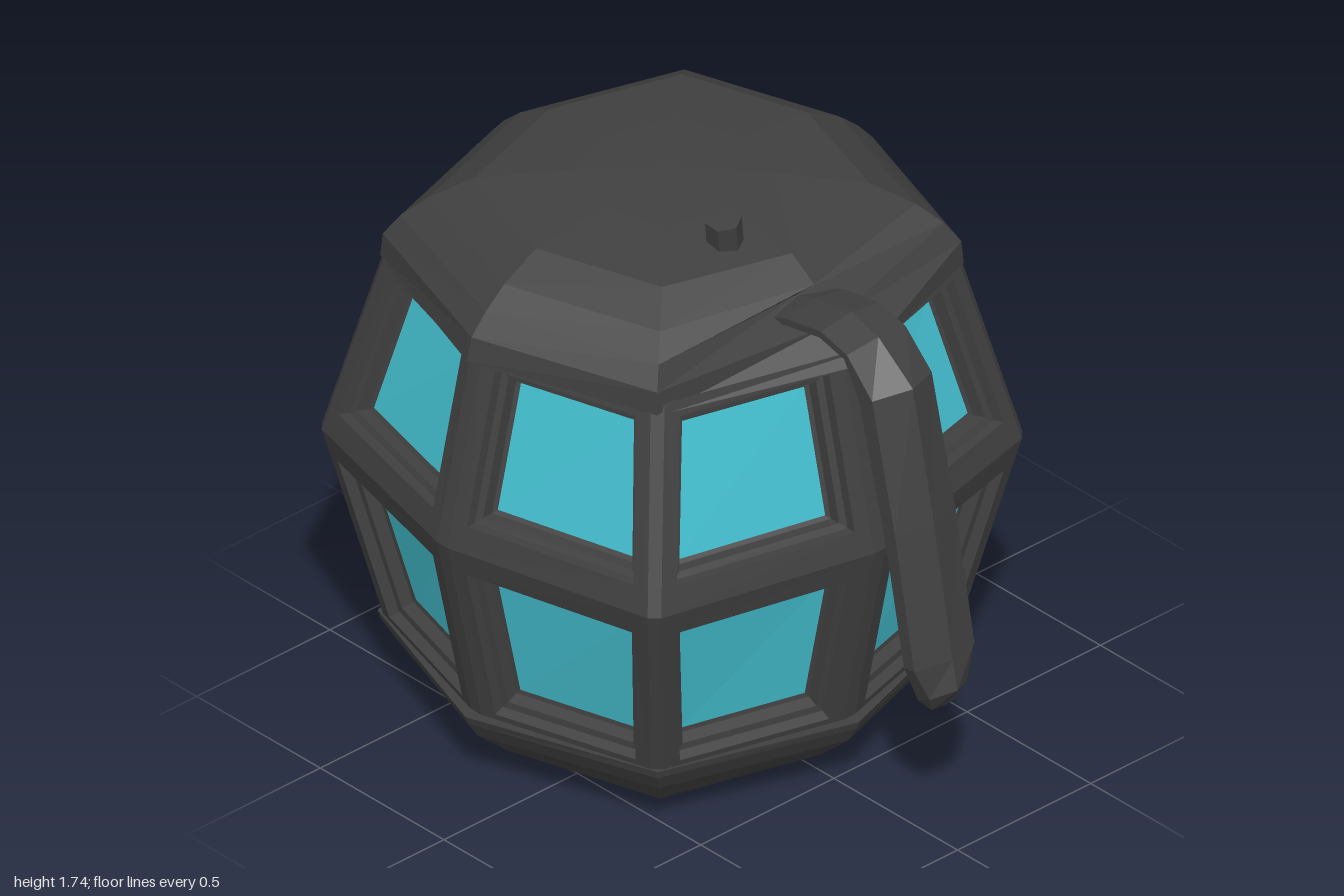
import * as THREE from 'three';

const dark = new THREE.MeshStandardMaterial({ color: 0x404040 });
dark.name = 'darkMetal';
const teal = new THREE.MeshStandardMaterial({ color: 0x44c0d0 });
teal.name = 'tealGlass';

const CZ = -0.155, SZ = 0.975; // body centre and depth ratio
const V = (x, y, z) => new THREE.Vector3(x, y, z);

// Eight-sided outline, a = reach on the axes, c = reach of the corners; starts at the front, runs to +x
function octagon(a, c, y, front) {
  const s = [[0, a], [c, c], [a, 0], [c, -c], [0, -a], [-c, -c], [-a, 0], [-c, c]];
  const ring = s.map(([x, z]) => V(x, y, CZ + z * SZ));
  if (front) ring[0].set(0, front[0], front[1]);
  return ring;
}

const quad = (out, a, b, c, d) => out.push(a, b, c, a, c, d);

function fan(out, ring, flip) {
  for (let i = 1; i < ring.length - 1; i++) {
    if (flip) out.push(ring[0], ring[i + 1], ring[i]);
    else out.push(ring[0], ring[i], ring[i + 1]);
  }
}

// Faceted skin between closed rings
function loft(out, rings) {
  for (let i = 0; i < rings.length - 1; i++) {
    const a = rings[i], b = rings[i + 1], n = a.length;
    for (let j = 0; j < n; j++) {
      const k = (j + 1) % n;
      quad(out, a[j], a[k], b[k], b[j]);
    }
  }
}

function capped(rings) {
  const out = [];
  fan(out, rings[0], true);
  loft(out, rings);
  fan(out, rings[rings.length - 1], false);
  return out;
}

function mesh(points, material, name) {
  const g = new THREE.BufferGeometry().setFromPoints(points);
  g.computeVertexNormals();
  const m = new THREE.Mesh(g, material);
  m.name = name;
  return m;
}

// Corners of a panel moved in from its sides, bottom and top, then sunk by depth
function insetPanel([bl, br, tr, tl], side, bottom, top, depth) {
  const n = br.clone().sub(bl).cross(tl.clone().sub(bl)).normalize();
  const h = bl.distanceTo(tl);
  const at = (right, v) => {
    const l = bl.clone().lerp(tl, v), r = br.clone().lerp(tr, v);
    const u = side / l.distanceTo(r);
    return l.lerp(r, right ? 1 - u : u).addScaledVector(n, -depth);
  };
  return [at(0, bottom / h), at(1, bottom / h), at(1, 1 - top / h), at(0, 1 - top / h)];
}

// One tier of eight recessed windows with chamfered posts between them
function tier(low, high, bottom, top, name) {
  const frame = [], glass = [], panels = [];
  for (let k = 0; k < 8; k++) {
    const n = (k + 1) % 8;
    panels.push(insetPanel([low[k], low[n], high[n], high[k]], 0.022, 0, 0, 0));
  }
  panels.forEach((p, k) => {
    const next = panels[(k + 1) % 8];
    quad(frame, p[1], next[0], next[3], p[2]);
    // [extra inset, depth] steps of the window frame
    const steps = [[0, 0], [0.006, 0.03], [0.026, 0.035], [0.032, 0.07], [0.045, 0.075]];
    const rings = steps.map(([i, d]) => insetPanel(p, 0.048 + i, bottom + i, top + i, d));
    loft(frame, [p, ...rings]);
    fan(glass, rings[rings.length - 1], false);
  });
  const g = new THREE.Group();
  g.name = name;
  g.add(mesh(frame, dark, 'windowFrames'), mesh(glass, teal, 'windowGlass'));
  return g;
}

export function createModel() {
  const model = new THREE.Group();
  model.name = 'lanternBody';

  // Window tiers meeting at the belt
  const belt = octagon(0.868, 0.698, 0.83);
  model.add(tier(octagon(0.735, 0.57, 0.2), belt, 0.05, 0.08, 'lowerWindows'));
  model.add(tier(belt, octagon(0.735, 0.57, 1.42), 0.08, 0.05, 'upperWindows'));

  // Base tray with a small step
  model.add(mesh(capped([
    octagon(0.51, 0.4, 0),
    octagon(0.59, 0.46, 0.05),
    octagon(0.62, 0.48, 0.055),
    octagon(0.73, 0.55, 0.15),
    octagon(0.765, 0.575, 0.205),
    octagon(0.775, 0.58, 0.23),
    octagon(0.72, 0.55, 0.23),
  ]), dark, 'base'));

  // Domed roof, dented at the front where the strap enters
  model.add(mesh(capped([
    octagon(0.7, 0.53, 1.4),
    octagon(0.77, 0.575, 1.39),
    octagon(0.753, 0.57, 1.46, [1.47, 0.48]),
    octagon(0.7, 0.535, 1.52, [1.51, 0.35]),
    octagon(0.63, 0.48, 1.58, [1.575, 0.42]),
    octagon(0.51, 0.39, 1.645, [1.635, 0.33]),
    octagon(0.26, 0.2, 1.675),
    octagon(0.01, 0.008, 1.69),
  ]), dark, 'roof'));

  // Strap with a ridged outer face: inner z, y, ridge z, y, half width
  const stations = [
    [0.33, 1.45, 0.33, 1.5, 0.11],
    [0.42, 1.49, 0.42, 1.53, 0.11],
    [0.56, 1.515, 0.57, 1.555, 0.11],
    [0.66, 1.49, 0.68, 1.525, 0.11],
    [0.72, 1.39, 0.82, 1.42, 0.112],
    [0.825, 1.0, 0.905, 1.02, 0.113],
    [0.905, 0.6, 0.98, 0.61, 0.113],
    [0.915, 0.48, 1.0, 0.52, 0.07],
    [0.935, 0.45, 0.95, 0.45, 0.045],
  ];
  const sections = stations.map(([iz, iy, rz, ry, w]) => {
    const sy = iy + (ry - iy) * 0.55, sz = iz + (rz - iz) * 0.55;
    return [V(-w, iy, iz), V(w, iy, iz), V(w, sy, sz), V(0, ry, rz), V(-w, sy, sz)];
  });
  model.add(mesh(capped(sections), dark, 'strap'));

  // Small six-sided knob on the roof
  const knobShape = new THREE.CylinderGeometry(0.052, 0.052, 0.12, 6).toNonIndexed();
  knobShape.computeVertexNormals();
  const knob = new THREE.Mesh(knobShape, dark);
  knob.name = 'knob';
  knob.position.set(-0.118, 1.675, 0.185);
  knob.rotation.set(0.08, 0, 0.15);
  model.add(knob);

  return model;
}
